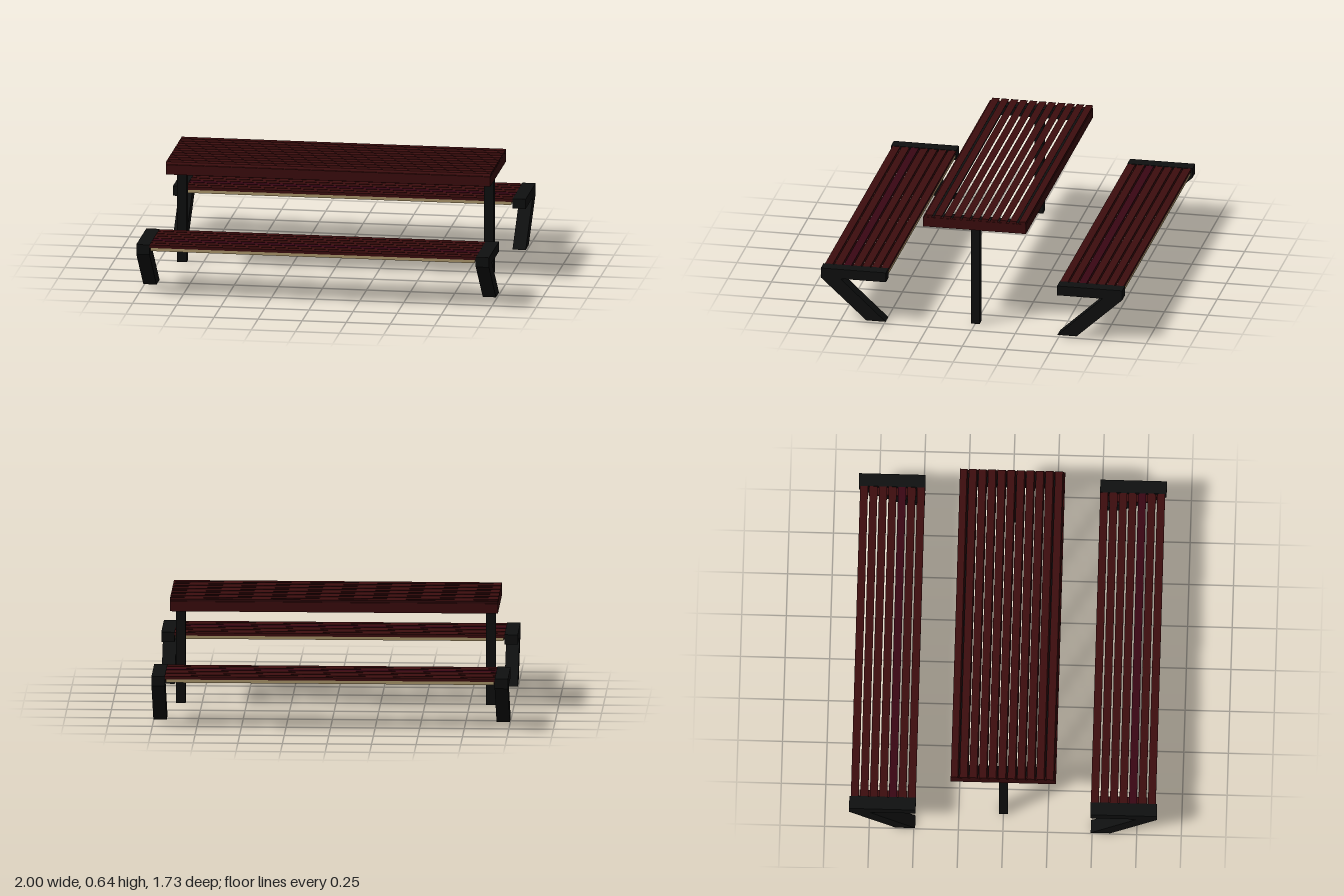
import * as THREE from 'three';

const mat = (name, color) => {
  const m = new THREE.MeshStandardMaterial({ color });
  m.name = name;
  return m;
};

export function createModel() {
  const wood = mat('red brown wood', 0x3d0d0e);
  const wine = mat('wine wood', 0x3a0614);
  const steel = mat('black steel', 0x0f1010);
  const beige = mat('beige rail', 0xb39d70);

  const model = new THREE.Group();
  model.name = 'picnicTable';

  // Box given by its min and max corners
  const box = (parent, name, material, x0, x1, y0, y1, z0, z1) => {
    const mesh = new THREE.Mesh(new THREE.BoxGeometry(x1 - x0, y1 - y0, z1 - z0), material);
    mesh.position.set((x0 + x1) / 2, (y0 + y1) / 2, (z0 + z1) / 2);
    mesh.name = name;
    parent.add(mesh);
    return mesh;
  };

  // Profile of [z, y] points extruded along x from x0 to x1
  const profile = (parent, name, material, points, x0, x1) => {
    const shape = new THREE.Shape(points.map(([z, y]) => new THREE.Vector2(-z, y)));
    const geo = new THREE.ExtrudeGeometry(shape, { depth: x1 - x0, bevelEnabled: false });
    geo.rotateY(Math.PI / 2);
    geo.translate(x0, 0, 0);
    const mesh = new THREE.Mesh(geo, material);
    mesh.name = name;
    parent.add(mesh);
    return mesh;
  };

  // Table
  const table = new THREE.Group();
  table.name = 'table';
  model.add(table);

  // Eleven slats with slanted edges
  const pitch = 0.0537, half = 0.295, slant = 0.007, gap = 0.011;
  for (let i = 0; i < 11; i++) {
    const z0 = -half + i * pitch, z1 = z0 + pitch - gap;
    const top0 = i === 0 ? z0 : z0 - slant / 2;
    profile(table, 'tableSlat', wood,
      [[z0 + slant / 2, 0.629], [z1 + slant / 2, 0.629], [z1 - slant / 2, 0.643], [top0, 0.643]],
      -0.92, 0.92);
  }

  // Apron boards, steel under-frame and posts
  for (const s of [-1, 1]) {
    box(table, 'longApron', wood, -0.92, 0.92, 0.572, 0.628, s * 0.275 - 0.02, s * 0.275 + 0.02);
    box(table, 'endApron', wood, s * 0.91 - 0.01, s * 0.91 + 0.01, 0.572, 0.628, -0.255, 0.255);
    box(table, 'longFrameRail', steel, -0.9, 0.9, 0.575, 0.627, s * 0.235 - 0.02, s * 0.235 + 0.02);
    box(table, 'crossFrameRail', steel, s * 0.87 - 0.03, s * 0.87 + 0.03, 0.575, 0.627, -0.215, 0.215);
    box(table, 'post', steel, s * 0.87 - 0.0275, s * 0.87 + 0.0275, 0, 0.575, -0.025, 0.025);
  }

  // Benches
  for (const side of [1, -1]) {
    const bench = new THREE.Group();
    bench.name = side > 0 ? 'frontBench' : 'backBench';
    model.add(bench);

    // Seven seat slats, one in a slightly different wood
    const start = side > 0 ? 0.491 : -0.855;
    for (let i = 0; i < 7; i++) {
      const z0 = start + i * 0.0533;
      box(bench, 'seatSlat', i === 4 ? wine : wood, -0.925, 0.925, 0.287, 0.304, z0, z0 + 0.0443);
    }

    // Open channels under the outer slats
    for (const z of [0.513, 0.833]) {
      const c = side * z;
      box(bench, 'seatRail', beige, -0.92, 0.92, 0.281, 0.287, c - 0.021, c + 0.021);
      for (const e of [-1, 1]) {
        const l = c + e * 0.0185;
        box(bench, 'seatRailLip', beige, -0.92, 0.92, 0.269, 0.281, l - 0.0025, l + 0.0025);
      }
    }

    // Angled end frames and the cleats holding the slats
    for (const s of [-1, 1]) {
      const x = s * 0.9625;
      const pts = [[0.49, 0.306], [0.49, 0.25], [0.75, 0.25], [0.492, 0.012],
        [0.602, 0.012], [0.863, 0.25], [0.863, 0.306]].map(([z, y]) => [side * z, y]);
      profile(bench, 'endFrame', steel, pts, x - 0.0375, x + 0.0375);
      const z = side * 0.673;
      box(bench, 'seatCleat', wood, s * 0.9025 - 0.0225, s * 0.9025 + 0.0225, 0.27, 0.287, z - 0.135, z + 0.135);
    }
  }

  return model;
}
